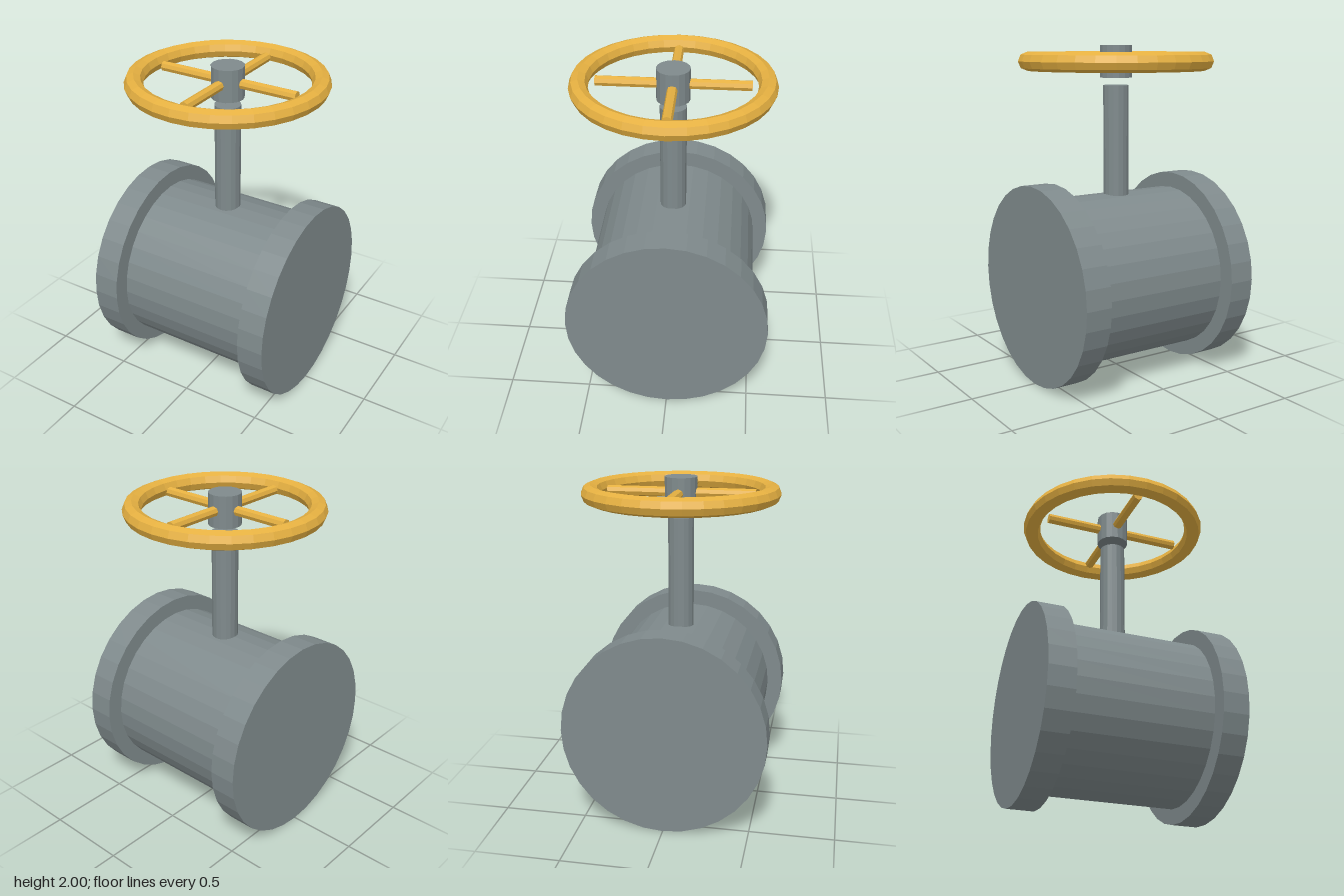
import * as THREE from 'three';

export function createModel() {
  const model = new THREE.Group();
  model.name = 'gateValve';
  const steel = new THREE.MeshStandardMaterial({ color: 0x7f8a8c, flatShading: true });
  const yellow = new THREE.MeshStandardMaterial({ color: 0xe5b041, flatShading: true });

  const add = (parent, name, geometry, material, x = 0, y = 0, z = 0) => {
    const mesh = new THREE.Mesh(geometry, material);
    mesh.name = name;
    mesh.position.set(x, y, z);
    parent.add(mesh);
    return mesh;
  };
  const rod = (radius, length, sides) => new THREE.CylinderGeometry(radius, radius, length, sides);

  // Pipe body lying along x, with a separate flange disc at each end
  const axisY = 0.6;
  add(model, 'body', rod(0.508, 0.846, 32).rotateZ(Math.PI / 2), steel, 0, axisY);
  for (const side of [-1, 1]) {
    const name = side > 0 ? 'leftFlange' : 'rightFlange';
    add(model, name, rod(0.6, 0.16, 32).rotateZ(Math.PI / 2), steel, side * 0.51, axisY);
  }

  // Upright stem, ending just below the hub
  add(model, 'stem', rod(0.078, 0.685, 16), steel, 0, 1.4225);

  // Handwheel: hub, octagonal-section rim and two crossed spoke bars
  const wheel = new THREE.Group();
  wheel.name = 'handwheel';
  wheel.position.y = 1.907;
  model.add(wheel);
  add(wheel, 'hub', rod(0.097, 0.19, 16), steel, 0, -0.002);
  add(wheel, 'rim', new THREE.TorusGeometry(0.53, 0.055, 8, 32).rotateX(Math.PI / 2), yellow);
  add(wheel, 'sideSpokes', rod(0.03, 0.88, 8).rotateZ(Math.PI / 2), yellow);
  add(wheel, 'frontBackSpokes', rod(0.03, 0.88, 8).rotateX(Math.PI / 2), yellow);

  return model;
}
